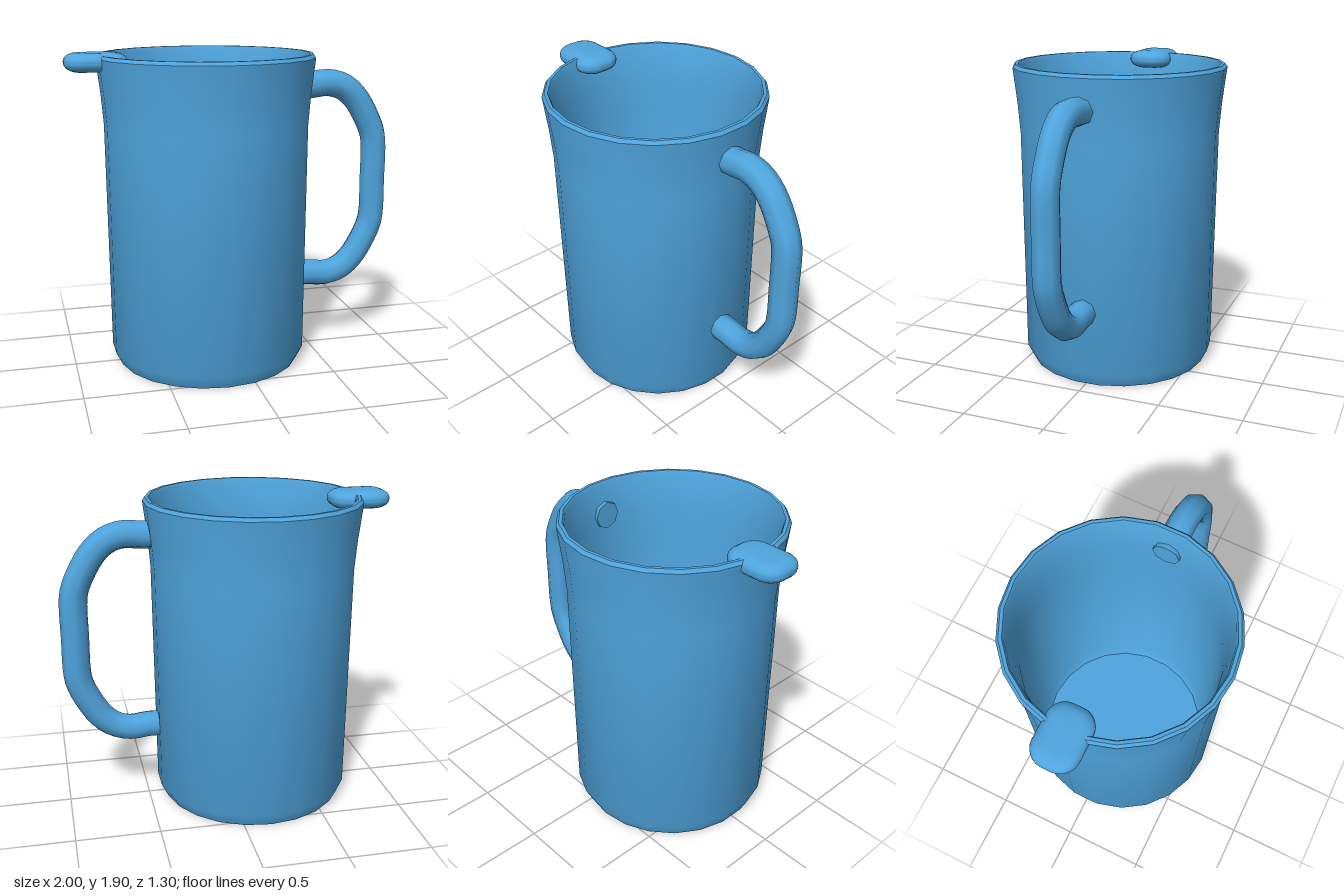
import * as THREE from 'three';
import { toCreasedNormals } from 'three/addons/utils/BufferGeometryUtils.js';

const CENTRE_X = -0.165;

export function createModel() {
  const group = new THREE.Group();
  const blue = new THREE.MeshStandardMaterial({ color: 0x4fa5de });
  blue.name = 'blue plastic';

  const add = (name, geometry) => {
    const mesh = new THREE.Mesh(geometry, blue);
    mesh.name = name;
    group.add(mesh);
    return mesh;
  };

  // Hollow jug: up the outside, over the bevelled lip, down the inside
  const profile = [
    [0, 0], [0.56, 0], [0.6, 0.08], [0.612, 1.47], [0.626, 1.65],
    [0.651, 1.865], [0.636, 1.885], [0.617, 1.885], [0.608, 1.865],
    [0.588, 1.65], [0.574, 1.47], [0.563, 0.12], [0.53, 0.06], [0, 0.06],
  ].map(([r, y]) => new THREE.Vector2(r, y));
  const body = new THREE.LatheGeometry(profile, 22);
  add('jug body', toCreasedNormals(body, 0.6)).position.x = CENTRE_X;

  // Handle: one half of the path, mirrored about its middle height
  const middle = 1.0785;
  const upper = [
    [0.5, 1.68], [0.6, 1.69], [0.7, 1.663], [0.785, 1.592],
    [0.865, 1.462], [0.904, 1.368], [0.915, 1.29],
  ];
  const lower = upper.map(([x, y]) => [x, 2 * middle - y]).reverse();
  const points = [[0.4, 1.68], ...upper, [0.915, middle], ...lower, [0.41, 0.475]]
    .map(([x, y]) => new THREE.Vector3(x, y, 0));
  const path = new THREE.CatmullRomCurve3(points, false, 'centripetal');
  add('handle', new THREE.TubeGeometry(path, 48, 0.083, 8, false));

  // Caps on the two ends of the handle
  for (const end of [points[0], points[points.length - 1]]) {
    const cap = add('handle end', new THREE.CircleGeometry(0.083, 8));
    cap.rotation.y = -Math.PI / 2;
    cap.position.copy(end);
  }

  // Pillow-shaped tab across the rim
  const hx = 0.1025, hz = 0.055, r = 0.03;
  const outline = new THREE.Shape();
  outline.absarc(hx - r, hz - r, r, 0, Math.PI / 2);
  outline.absarc(-hx + r, hz - r, r, Math.PI / 2, Math.PI);
  outline.absarc(-hx + r, -hz + r, r, Math.PI, Math.PI * 1.5);
  outline.absarc(hx - r, -hz + r, r, Math.PI * 1.5, Math.PI * 2);
  outline.closePath();
  const tab = new THREE.ExtrudeGeometry(outline, {
    depth: 0.01, curveSegments: 5, bevelEnabled: true,
    bevelThickness: 0.05, bevelSize: 0.08, bevelSegments: 5,
  });
  tab.translate(0, 0, -0.005).rotateX(-Math.PI / 2);
  add('rim tab', toCreasedNormals(tab, 0.9)).position.set(-0.8175, 1.845, 0);

  return group;
}
